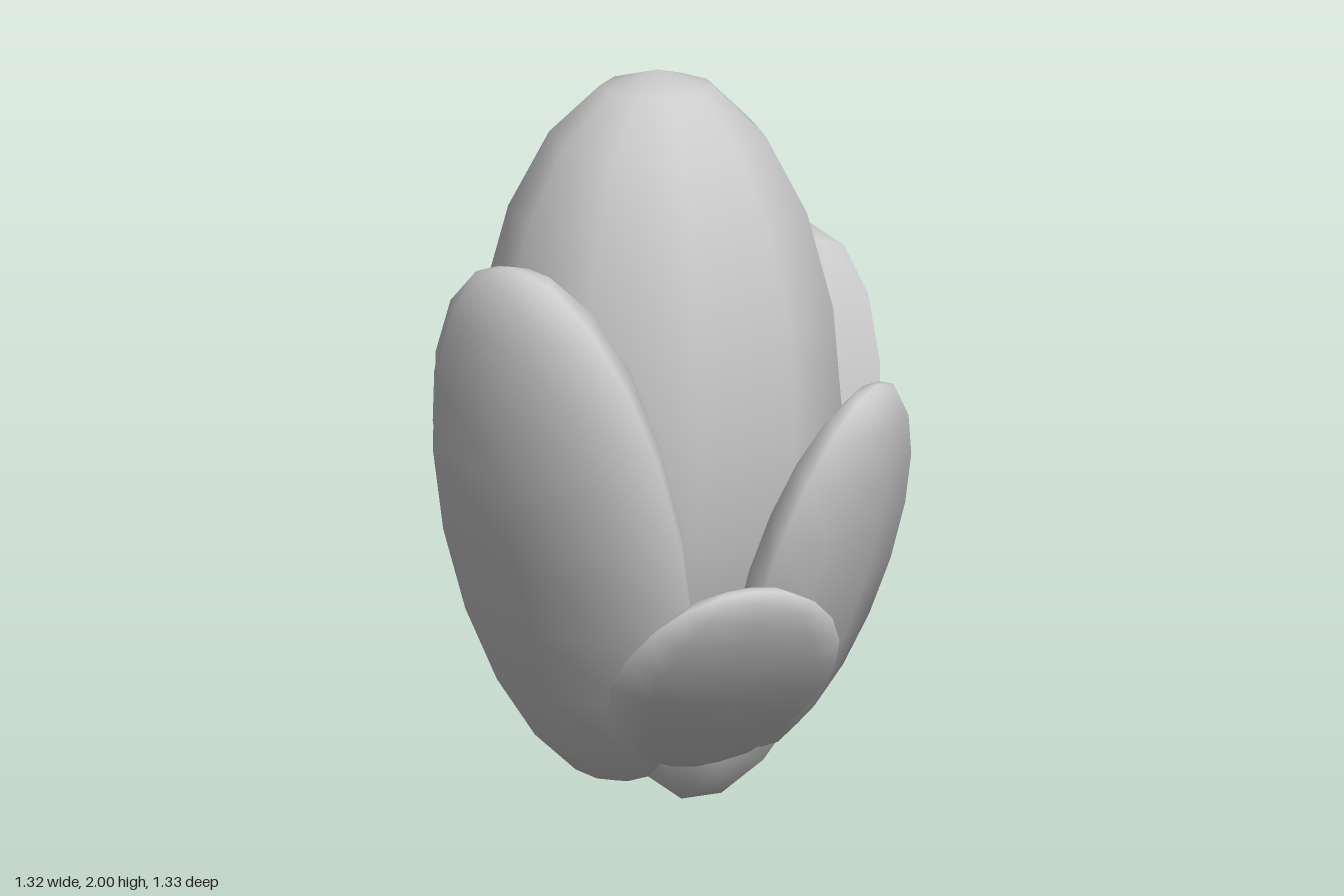
import * as THREE from 'three';

const AXIS_X = -0.04; // vertical axis of the bud
const rad = THREE.MathUtils.degToRad;

// Low-poly, smooth-shaded balls for the core and the petals
const coreBall = new THREE.SphereGeometry(1, 10, 10);
const petalBall = new THREE.SphereGeometry(1, 8, 10);

// name, yaw (deg, 0 = front), lean (deg), roll (deg), distance from axis, centre height,
// [half width, half length, half thickness]
const PETALS = [
  ['frontPetal', 0, 15.7, 0, 0.38, 0.84, [0.418, 0.767, 0.206]],
  ['backPetal', 180, 19.3, 0, 0.345, 0.732, [0.418, 0.775, 0.206]],
  ['leftPetal', 103.5, 20, 3, 0.48, 0.715, [0.31, 0.552, 0.135]],
  ['rightPetal', -78, 20, 0, 0.402, 0.73, [0.3, 0.553, 0.135]],
  ['smallFrontLeftPetal', 62.5, 39, 0, 0.474, 0.465, [0.315, 0.372, 0.09]],
  ['smallBackRightPetal', -127, 33, 0, 0.38, 0.412, [0.32, 0.415, 0.095]],
];

export function createModel() {
  const group = new THREE.Group();
  group.name = 'flowerBud';
  const material = new THREE.MeshStandardMaterial({ color: 0xcccccc });

  // Egg-shaped core
  const core = new THREE.Mesh(coreBall, material);
  core.name = 'core';
  core.scale.set(0.4875, 0.92, 0.4875);
  core.position.set(AXIS_X, 1.08, 0.005);
  group.add(core);

  // Flattened petals leaning outwards around the core
  for (const [name, yaw, lean, roll, distance, height, size] of PETALS) {
    const petal = new THREE.Mesh(petalBall, material);
    petal.name = name;
    petal.scale.set(...size);
    petal.rotation.set(rad(lean), rad(yaw), rad(roll), 'YXZ');
    petal.position.set(
      AXIS_X + distance * Math.sin(rad(yaw)),
      height,
      distance * Math.cos(rad(yaw))
    );
    group.add(petal);
  }
  return group;
}
